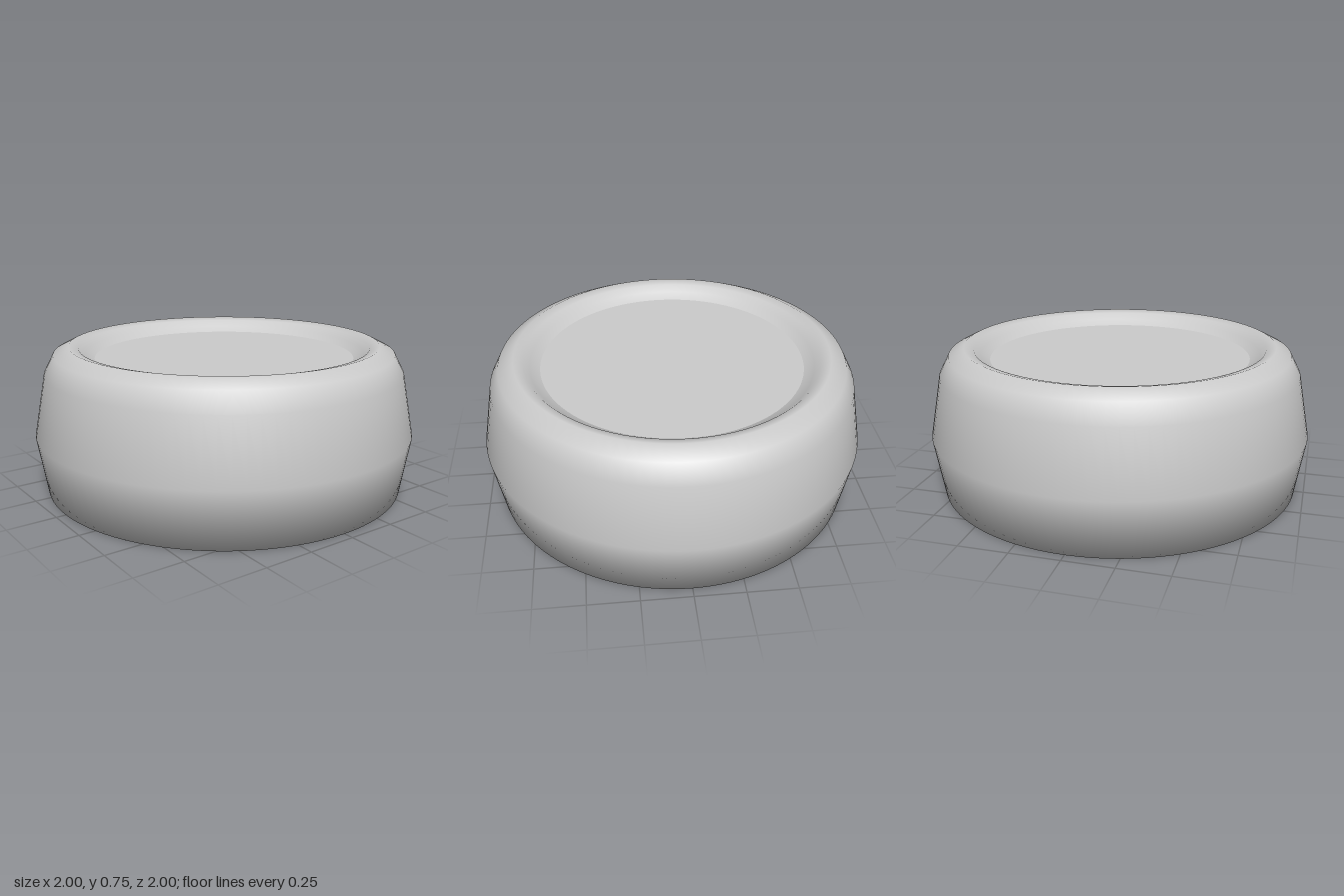
import * as THREE from 'three';

const SEGMENTS = 96;

export function createModel() {
  const group = new THREE.Group();
  group.name = 'roundDish';
  const material = new THREE.MeshStandardMaterial({ color: 0xcccccc });

  // Outer body: flat base, bulging wall, rounded lip and the slope into the recess
  const profile = [
    [0, 0], [0.95, 0], [1, 0.3], [0.94, 0.62], [0.89, 0.715],
    [0.81, 0.755], [0.76, 0.742], [0.73, 0.71], [0.68, 0.683],
  ].map(([r, y]) => new THREE.Vector2(r, y));
  const body = new THREE.Mesh(new THREE.LatheGeometry(profile, SEGMENTS), material);
  body.name = 'body';
  group.add(body);

  // Flat floor of the shallow recess, with a crisp edge against the lip
  const floor = new THREE.Mesh(new THREE.CircleGeometry(0.68, SEGMENTS), material);
  floor.name = 'recessFloor';
  floor.rotation.x = -Math.PI / 2;
  floor.position.y = 0.683;
  group.add(floor);

  return group;
}
